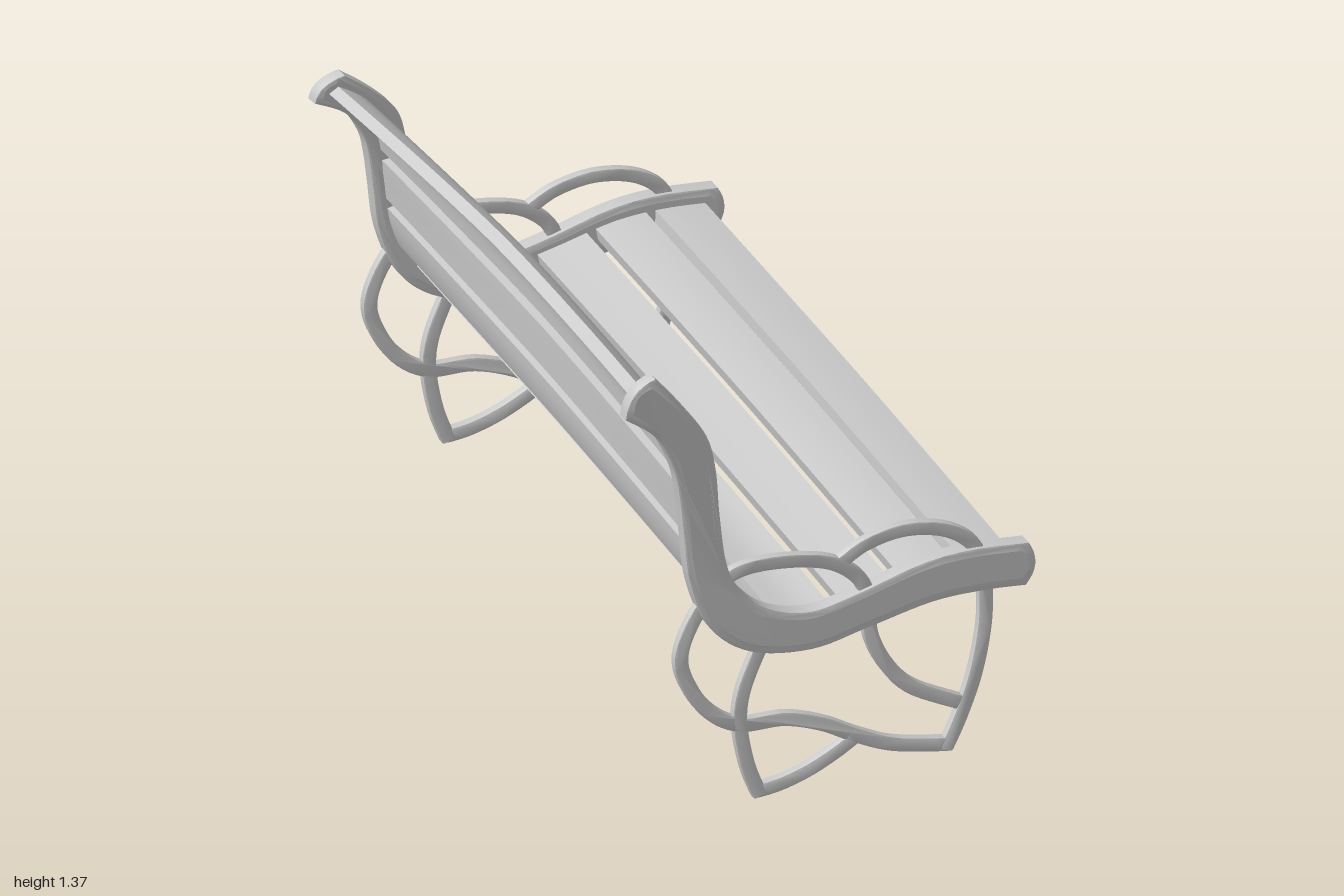
import * as THREE from 'three';
import { toCreasedNormals } from 'three/addons/utils/BufferGeometryUtils.js';

const material = new THREE.MeshStandardMaterial({ color: 0xcccccc });
const HALF = 0.95; // distance from the middle to each end frame
const V = (p) => new THREE.Vector2(p[0], p[1]);
const curveOf = (pts) => new THREE.SplineCurve(pts.map(V));

// Front/top edge and back/underside edge of the S-shaped end frame, in pairs
const innerEdge = curveOf([[-0.51, 1.37], [-0.43, 1.265], [-0.355, 1.145], [-0.325, 1.03],
  [-0.31, 0.885], [-0.285, 0.72], [-0.24, 0.63], [-0.165, 0.56], [-0.05, 0.522],
  [0.08, 0.54], [0.26, 0.583], [0.40, 0.59], [0.567, 0.57]]);
const outerEdge = curveOf([[-0.59, 1.26], [-0.50, 1.18], [-0.447, 1.066], [-0.427, 0.97],
  [-0.413, 0.86], [-0.39, 0.69], [-0.33, 0.54], [-0.215, 0.442], [-0.045, 0.406],
  [0.114, 0.43], [0.295, 0.46], [0.44, 0.457], [0.56, 0.442]]);
const across = (u, t) => innerEdge.getPoint(u).lerp(outerEdge.getPoint(u), t);

// Sagging of the old bench: back leans sideways, drops at one end, slats bow forward
function warp(geometry) {
  const p = geometry.attributes.position;
  for (let i = 0; i < p.count; i++) {
    const y = p.getY(i), z = p.getZ(i);
    const up = Math.max(0, (y - 0.6) / 0.75);
    const lean = 0.045 * Math.pow(up, 1.5) + 0.012 * Math.max(0, 1 - y / 0.4);
    const drop = 0.23 * Math.max(0, y - 0.55) ** 2 * (0.5 - z / (2 * HALF));
    const bow = (0.008 + 0.03 * Math.min(1, up)) * Math.max(0, 1 - Math.abs(z / HALF) ** 1.5);
    p.setXYZ(i, p.getX(i) + bow, Math.max(0, y - drop), z - 0.018 + lean);
  }
  return toCreasedNormals(geometry, 0.6);
}

// Extrudes an outline along z, centred on z, and warps it
function slab(name, shape, z, depth, bevel = 0, steps = 1) {
  const g = new THREE.ExtrudeGeometry(shape, {
    depth: depth - 2 * bevel, steps, bevelEnabled: bevel > 0,
    bevelSize: bevel, bevelOffset: -bevel, bevelThickness: bevel, bevelSegments: 2,
  });
  g.translate(0, 0, z - depth / 2 + bevel);
  const mesh = new THREE.Mesh(warp(g), material);
  mesh.name = name;
  return mesh;
}

// Closed outline of the end frame, inset by a (across) and e (along), with rounded caps
function frameOutline(a, e) {
  const pts = [], n = 72;
  const cap = (u, du, from, to) => {
    const dir = across(u, 0.5).sub(across(u + du, 0.5)).normalize();
    for (let i = 1; i < 8; i++) {
      const s = i / 8;
      pts.push(across(u, from + (to - from) * s).addScaledVector(dir, 0.1 * s * (1 - s)));
    }
  };
  for (let i = 0; i <= n; i++) pts.push(across(e + (1 - 2 * e) * i / n, a));
  cap(1 - e, -0.01, a, 1 - a);
  for (let i = n; i >= 0; i--) pts.push(across(e + (1 - 2 * e) * i / n, 1 - a));
  cap(e, 0.01, 1 - a, a);
  return pts;
}

// Strip of constant width following a list of centre points
function ribbon(centre, width) {
  const left = [], right = [];
  centre.forEach((p, i) => {
    const d = centre[Math.min(i + 1, centre.length - 1)].clone()
      .sub(centre[Math.max(i - 1, 0)]).normalize();
    const n = new THREE.Vector2(-d.y, d.x).multiplyScalar(width / 2);
    left.push(p.clone().add(n));
    right.unshift(p.clone().sub(n));
  });
  return new THREE.Shape([...left, ...right]);
}

// Scrollwork bars: legs, feet and arm loops
const bars = {
  rearLoopAndStretcher: [[-0.28, 0.68], [-0.365, 0.585], [-0.41, 0.468], [-0.38, 0.36], [-0.32, 0.275],
    [-0.24, 0.225], [-0.12, 0.212], [-0.013, 0.17], [0.085, 0.11], [0.19, 0.058], [0.345, 0.018]],
  armAndBrace: [[-0.33, 0.63], [-0.265, 0.683], [-0.175, 0.692], [-0.05, 0.67], [0.04, 0.63],
    [0.105, 0.56], [0.12, 0.47], [0.13, 0.39], [0.17, 0.30], [0.24, 0.215], [0.375, 0.135]],
  frontLoopAndLeg: [[0.045, 0.64], [0.115, 0.677], [0.22, 0.692], [0.33, 0.665], [0.41, 0.605],
    [0.445, 0.52], [0.452, 0.44], [0.447, 0.34], [0.42, 0.21], [0.375, 0.09], [0.33, 0]],
  rearLeg: [[-0.17, 0.46], [-0.19, 0.43], [-0.235, 0.32], [-0.245, 0.225], [-0.225, 0.10], [-0.19, 0]],
  rearFoot: [[-0.2, 0.018], [-0.13, 0.024], [-0.05, 0.045], [0.03, 0.08], [0.09, 0.115]],
};

function endFrame(z, name) {
  const group = new THREE.Group();
  group.name = name;
  const rim = new THREE.Shape(frameOutline(0, 0));
  rim.holes.push(new THREE.Path(frameOutline(0.14, 0.012)));
  group.add(slab('frameRim', rim, z, 0.042, 0.005));
  group.add(slab('framePanel', new THREE.Shape(frameOutline(0.08, 0.006)), z, 0.028));
  for (const [bar, pts] of Object.entries(bars)) {
    group.add(slab(bar, ribbon(curveOf(pts).getPoints(56), 0.04), z, 0.024, 0.004));
  }
  return group;
}

// Slats follow the middle line of the end frames
const middle = Array.from({ length: 801 }, (_, i) => across(i / 800, 0.5));
function slat(name, from, to) {
  const pts = [];
  for (let i = 0; i <= 6; i++) pts.push(middle[Math.round(from + (to - from) * i / 6)]);
  return slab(name, ribbon(pts, 0.036), 0, 2 * HALF, 0, 16);
}

export function createModel() {
  const model = new THREE.Group();
  model.name = 'bench';
  model.add(endFrame(HALF, 'leftEndFrame'), endFrame(-HALF, 'rightEndFrame'));

  // Seat slats, placed by x
  const atX = (x) => middle.findIndex((p) => p.y < 0.6 && p.x >= x);
  for (let i = 0; i < 5; i++) {
    const x = -0.268 + 0.1655 * i;
    model.add(slat('seatSlat', atX(x), atX(x + 0.138)));
  }

  // Back slats, placed by height
  const atY = (y) => middle.findIndex((p) => p.y <= y);
  for (const [low, high] of [[0.635, 0.765], [0.80, 0.945], [0.99, 1.13], [1.18, 1.3]]) {
    model.add(slat('backSlat', atY(high), atY(low)));
  }
  return model;
}
